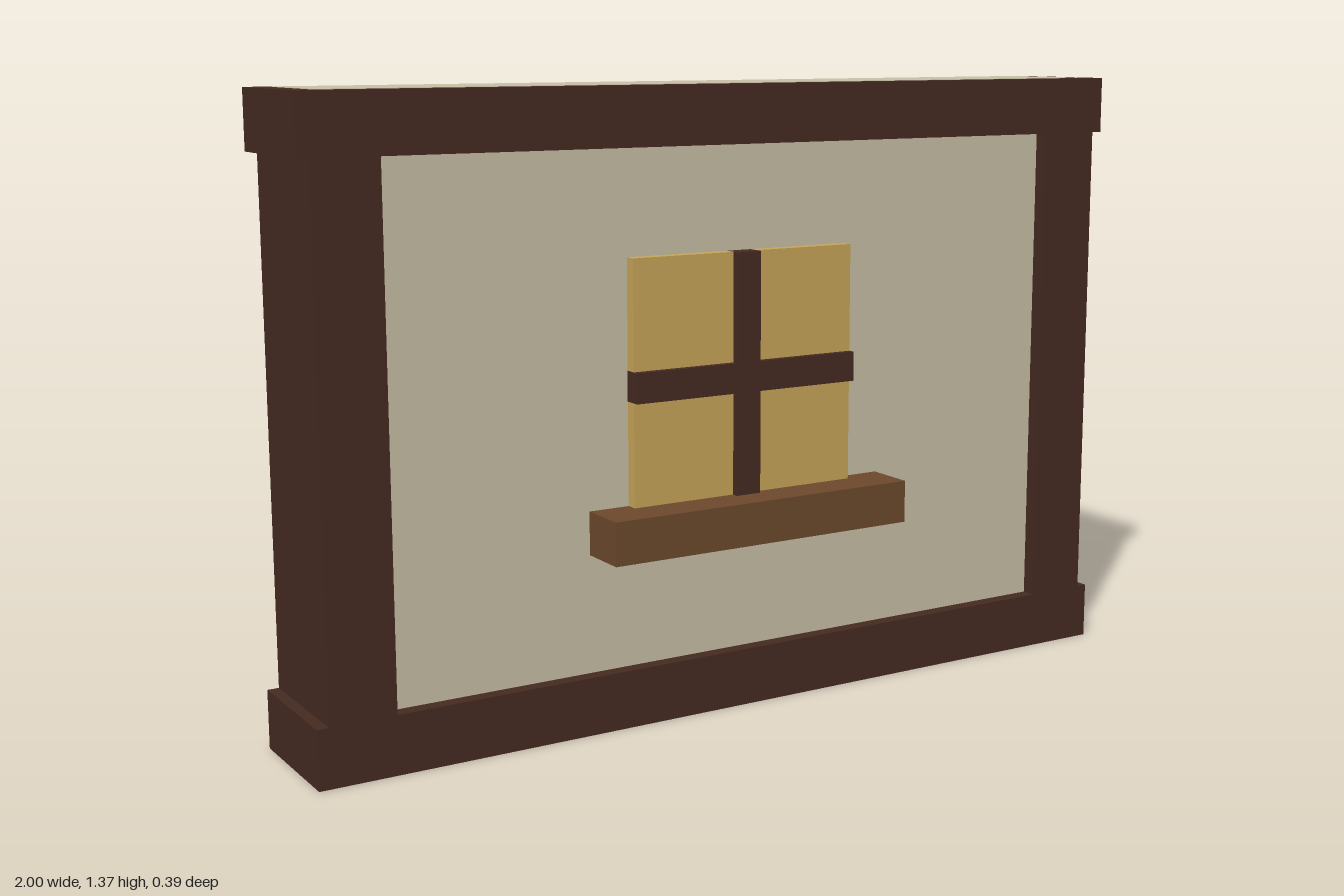
import * as THREE from 'three';

export function createModel() {
  const model = new THREE.Group();
  model.name = 'timberWallWithWindow';

  const material = (name, color) => {
    const m = new THREE.MeshStandardMaterial({ color });
    m.name = name;
    return m;
  };
  const timber = material('dark timber', 0x452b21);
  const plaster = material('plaster', 0xc9c0a8);
  const wood = material('sill wood', 0x6d492d);
  const glass = material('amber glass', 0xc9a659);

  // Box given by its low and high corner on each axis
  const box = (name, mat, [x0, x1], [y0, y1], [z0, z1]) => {
    const mesh = new THREE.Mesh(new THREE.BoxGeometry(x1 - x0, y1 - y0, z1 - z0), mat);
    mesh.position.set((x0 + x1) / 2, (y0 + y1) / 2, (z0 + z1) / 2);
    mesh.name = name;
    model.add(mesh);
  };

  const frameZ = [-0.177, 0.112];
  const wallZ = [-0.145, 0.08];
  const barZ = [-0.185, 0.122];
  const paneZ = [-0.171, 0.106];

  // Timber frame: two beams and two slightly inset posts
  box('bottomBeam', timber, [-1, 1], [0, 0.128], frameZ);
  box('topBeam', timber, [-1, 1], [1.245, 1.372], frameZ);
  box('rightPost', timber, [-0.975, -0.83], [0.128, 1.245], frameZ);
  box('leftPost', timber, [0.83, 0.975], [0.128, 1.245], frameZ);

  // Plaster infill, and its core showing along the top of the beam
  box('plasterWall', plaster, [-0.84, 0.84], [0.12, 1.25], wallZ);
  box('plasterTop', plaster, [-0.95, 0.95], [1.37, 1.373], wallZ);

  // Window: four panes seen from both sides, divided by a cross of bars
  for (const [side, x] of [['right', [-0.277, -0.03]], ['left', [0.03, 0.277]]]) {
    box(side + 'LowerPane', glass, x, [0.48, 0.71], paneZ);
    box(side + 'UpperPane', glass, x, [0.776, 1.016], paneZ);
  }
  box('verticalBar', timber, [-0.03, 0.03], [0.48, 1.016], barZ);
  box('rightCrossBar', timber, [-0.278, -0.03], [0.71, 0.776], barZ);
  box('leftCrossBar', timber, [0.03, 0.278], [0.71, 0.776], barZ);

  // Sill running through the wall
  box('windowSill', wood, [-0.372, 0.372], [0.388, 0.483], [-0.195, 0.195]);

  return model;
}
